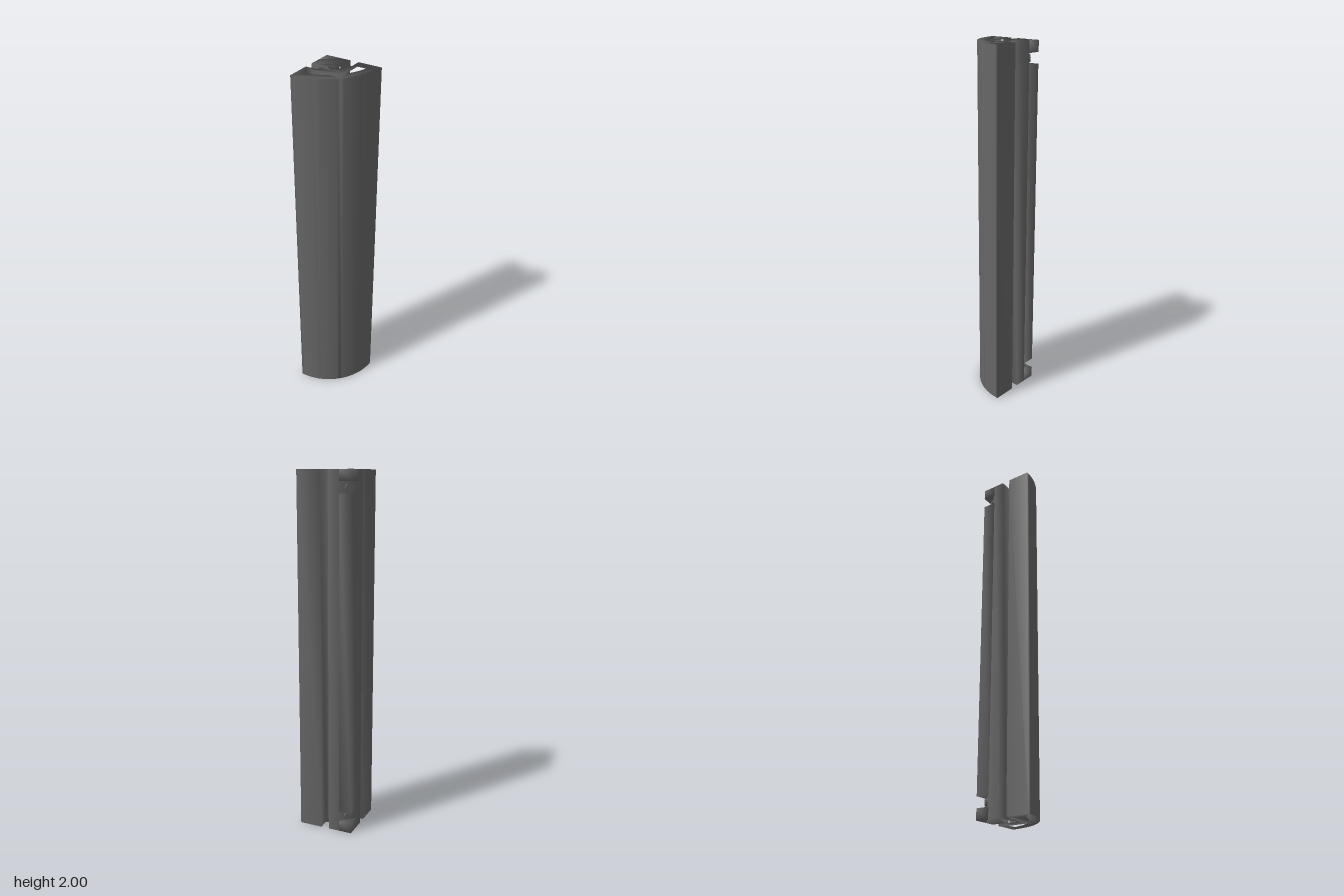
import * as THREE from 'three';
import { mergeVertices } from 'three/addons/utils/BufferGeometryUtils.js';

const H = 2, E = 0.158;       // height, half width
const CUT = 0.075;            // leg of the notched corner
const N0 = 0.06, N1 = 0.12;   // notch span measured from each end

// Points on an arc about the back corner, as [x, z]
function arc(radius, from, to, steps) {
  const pts = [];
  for (let i = 0; i <= steps; i++) {
    const a = from + (to - from) * i / steps;
    pts.push([-E + radius * Math.cos(a), -E + radius * Math.sin(a)]);
  }
  return pts;
}

const toVec = (pts) => pts.map(([x, z]) => new THREE.Vector2(x, -z));

// Upright prism from an [x, z] outline, with normals blended across edges
function prism(outline, holes, y0, y1) {
  const shape = new THREE.Shape(toVec(outline));
  holes.forEach((h) => shape.holes.push(new THREE.Path(toVec(h))));
  let geo = new THREE.ExtrudeGeometry(shape, { depth: y1 - y0, bevelEnabled: false });
  geo.rotateX(-Math.PI / 2).translate(0, y0, 0);
  geo.deleteAttribute('uv');
  geo.deleteAttribute('normal');
  geo = mergeVertices(geo, 1e-5);
  geo.clearGroups();
  geo.computeVertexNormals();
  return geo;
}

export function createModel() {
  const group = new THREE.Group();
  const darkGrey = new THREE.MeshStandardMaterial({ color: 0x666666 });
  darkGrey.name = 'darkGrey';
  const add = (name, geo) => {
    const mesh = new THREE.Mesh(geo, darkGrey);
    mesh.name = name;
    group.add(mesh);
    return mesh;
  };

  // Quarter-round section with two slots and a cut back corner
  const outline = [
    [-E + CUT, -E], [-0.02, -E], [-0.02, -0.093], [0.027, -0.093], [0.027, -E],
    ...arc(2 * E, 0, Math.PI / 2, 32),
    [-E, 0.027], [-0.093, 0.027], [-0.093, -0.02], [-E, -0.02], [-E, -E + CUT],
  ];

  // Hollow chambers behind the curved wall, mirrored about the diagonal
  const chamber = [[0.053, -0.105], ...arc(0.2635, Math.asin(0.053 / 0.2635), Math.acos(0.211 / 0.2635), 10)];
  const mirrored = chamber.map(([x, z]) => [z, x]);

  // Round centre bore
  const bore = [];
  for (let i = 0; i < 32; i++) {
    const a = i / 32 * Math.PI * 2;
    bore.push([-0.037 + 0.03 * Math.cos(a), -0.037 + 0.03 * Math.sin(a)]);
  }
  add('profileBody', prism(outline, [chamber, mirrored, bore], 0, H));

  // Corner edge, interrupted by a notch near each end
  const corner = [[-E, -E], [-E + CUT, -E], [-E, -E + CUT]];
  add('cornerBottom', prism(corner, [], 0, N0));
  add('cornerMiddle', prism(corner, [], N1, H - N1));
  add('cornerTop', prism(corner, [], H - N0, H));

  // Diagonal pins crossing the bore behind each notch
  const mid = (N0 + N1) / 2;
  for (const y of [mid, H - mid]) {
    const pin = add('crossPin', new THREE.CylinderGeometry(0.02, 0.02, 0.17, 20));
    pin.position.set(-0.068, y, -0.068);
    pin.quaternion.setFromUnitVectors(new THREE.Vector3(0, 1, 0), new THREE.Vector3(1, 0, 1).normalize());
  }
  return group;
}
